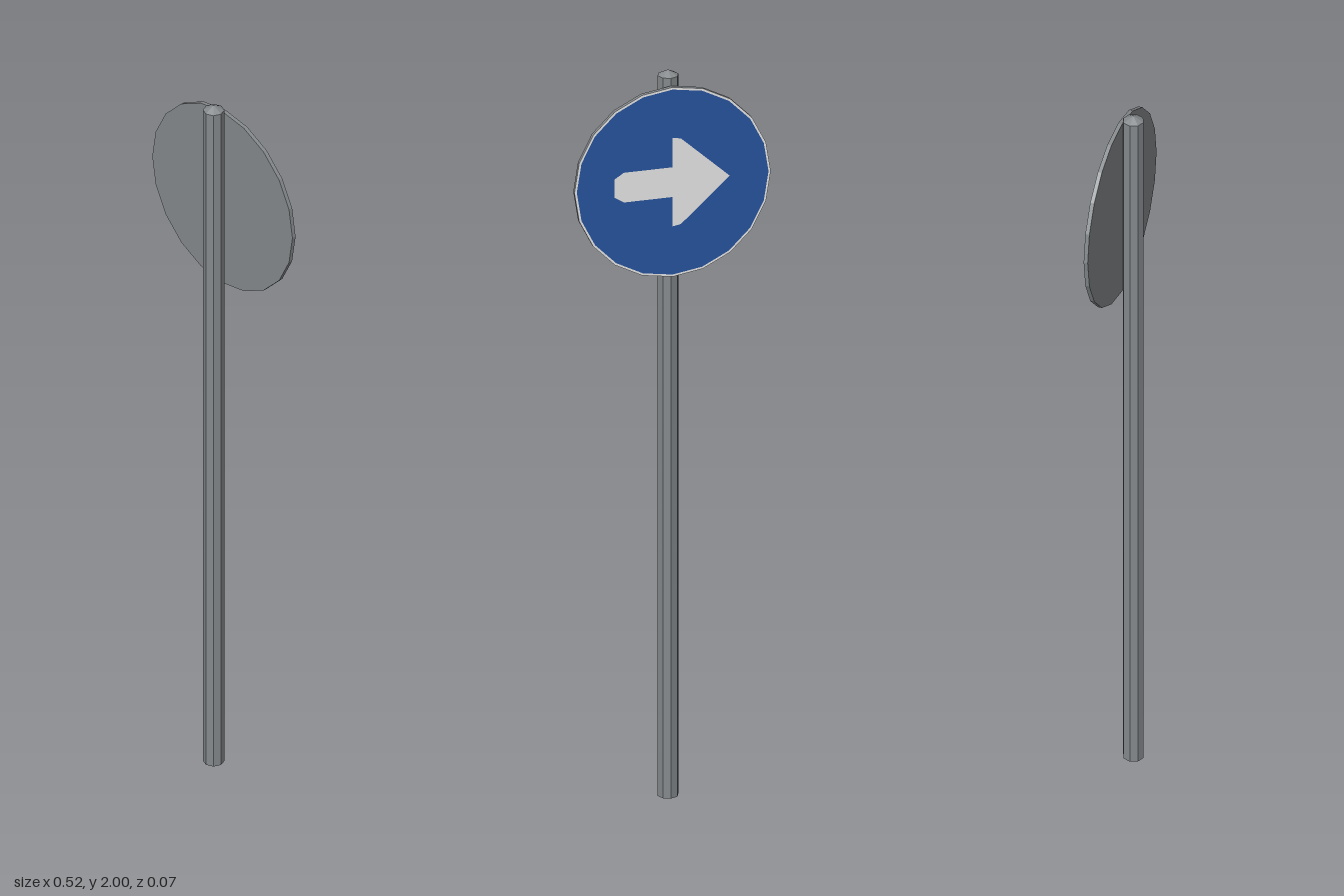
import * as THREE from 'three';

const material = (name, color) => {
  const m = new THREE.MeshStandardMaterial({ color });
  m.name = name;
  return m;
};

export function createModel() {
  const group = new THREE.Group();
  group.name = 'roadSign';
  const grey = material('galvanised grey', 0x85898c);
  const blue = material('sign blue', 0x27549f);
  const white = material('sign white', 0xe8e8e8);

  const SIGN_Y = 1.706, R = 0.261, BACK_Z = -0.035;
  const add = (name, geometry, mat, x, y, z) => {
    const mesh = new THREE.Mesh(geometry, mat);
    mesh.name = name;
    mesh.position.set(x, y, z);
    group.add(mesh);
    return mesh;
  };
  const flat = (geometry) => {
    const g = geometry.toNonIndexed();
    g.computeVertexNormals();
    return g;
  };

  // Eight-sided pole with a shallow pointed cap
  add('pole', flat(new THREE.CylinderGeometry(0.0275, 0.0275, 1.986, 8)), grey, 0, 0.993, 0.0065);
  add('poleCap', flat(new THREE.ConeGeometry(0.0275, 0.014, 8, 1, true)), grey, 0, 1.993, 0.0065);

  // Twenty-sided sign plate standing just behind the pole
  const plate = flat(new THREE.CylinderGeometry(R, R, 0.011, 20).rotateX(Math.PI / 2));
  add('signPlate', plate, grey, 0, SIGN_Y, BACK_Z + 0.0055);

  // Painted face, turned towards -z: white edge, blue disc, white arrow
  const paint = (name, geometry, mat, layer) => {
    add(name, geometry, mat, 0, SIGN_Y, BACK_Z - 0.0005 * layer).rotation.y = Math.PI;
  };
  paint('whiteEdge', new THREE.RingGeometry(0.255, R, 20), white, 1);
  paint('blueFace', new THREE.CircleGeometry(0.255, 20), blue, 1);

  const arrow = new THREE.Shape([
    [-0.155, -0.025], [-0.13, -0.041], [0, -0.041], [0, -0.122], [0.022, -0.118],
    [0.152, 0],
    [0.022, 0.118], [0, 0.122], [0, 0.041], [-0.13, 0.041], [-0.155, 0.025],
  ].map(([x, y]) => new THREE.Vector2(x, y)));
  paint('arrow', new THREE.ShapeGeometry(arrow), white, 2);

  return group;
}
